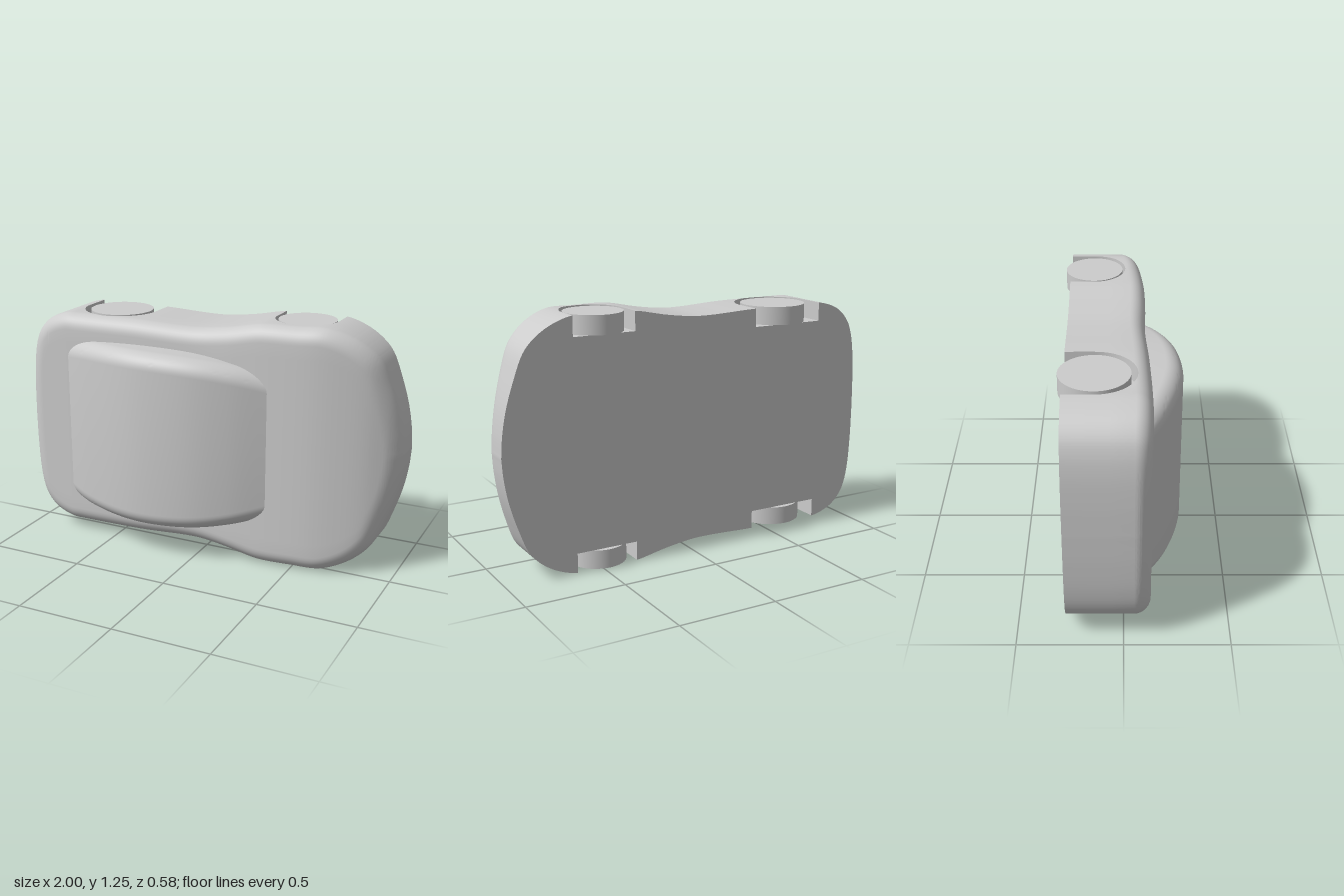
import * as THREE from 'three';
import { toCreasedNormals } from 'three/addons/utils/BufferGeometryUtils.js';

const MID = 0.622; // height of the symmetry plane
const FLOOR = -0.27; // underside of the body
const R = 0.08, H = 0.075; // width and drop of the rounded shoulder
const arches = [
  { name: 'rear', x: -0.56, z: -0.13, r: 0.195, wheel: 0.165, inner: 0.485, outer: 0.577 },
  { name: 'front', x: 0.475, z: -0.15, r: 0.16, wheel: 0.145, inner: 0.523, outer: 0.617 },
];

// Smooth curve through a few points, sampled
const smooth = (pts, n) => new THREE.CatmullRomCurve3(
  pts.map(([a, b]) => new THREE.Vector3(a, b, 0))).getPoints(n);

// Look up a sampled curve at x
function at(curve, x) {
  for (let i = 1; i < curve.length; i++) {
    const p = curve[i - 1], q = curve[i];
    if (x <= q.x) return p.y + (q.y - p.y) * Math.max(0, (x - p.x) / (q.x - p.x || 1));
  }
  return curve[curve.length - 1].y;
}

// Skin a row of half sections [y, z] at stations x, mirrored across the mid plane
function loft(columns) {
  const cols = columns.map(({ x, pts }) => {
    const other = pts.slice(0, -1).reverse().map(([y, z]) => [-y, z]);
    return [...pts, ...other].map(([y, z]) => new THREE.Vector3(x, y + MID, z));
  });
  const out = [];
  const tri = new THREE.Triangle();
  const add = (a, b, c) => {
    if (tri.set(a, b, c).getArea() > 1e-9) for (const p of [a, b, c]) out.push(p.x, p.y, p.z);
  };
  for (let i = 0; i + 1 < cols.length; i++) {
    for (let j = 0; j + 1 < cols[i].length; j++) {
      const a = cols[i][j], b = cols[i][j + 1], c = cols[i + 1][j], d = cols[i + 1][j + 1];
      add(a, b, c);
      add(b, d, c);
    }
  }
  const g = new THREE.BufferGeometry();
  g.setAttribute('position', new THREE.Float32BufferAttribute(out, 3));
  return toCreasedNormals(g, 0.6);
}

// Drop of a rounded edge at distance d from the rim
const roundDrop = (d, r, h) => {
  const u = Math.max(0, 1 - d / r);
  return h * (1 - Math.sqrt(Math.max(0, 1 - u * u)));
};

function bodyGeometry() {
  // Half outline in plan, tail to nose
  const outline = smooth([[-1, 0], [-0.997, 0.17], [-0.987, 0.32], [-0.97, 0.41], [-0.945, 0.47],
    [-0.9, 0.522], [-0.85, 0.553], [-0.77, 0.577], [-0.7, 0.578], [-0.5, 0.578], [-0.35, 0.577],
    [-0.1, 0.567], [0, 0.569], [0.15, 0.588], [0.3, 0.617], [0.36, 0.621], [0.5, 0.621],
    [0.64, 0.621], [0.75, 0.584], [0.83, 0.53], [0.88, 0.472], [0.93, 0.35], [0.97, 0.22],
    [0.992, 0.1], [1, 0]], 260);
  // Top line from the side
  const deck = smooth([[-1, 0.123], [-0.7, 0.13], [-0.3, 0.12], [0, 0.106], [0.2, 0.11], [0.4, 0.105],
    [0.6, 0.083], [0.75, 0.042], [0.85, 0.002], [0.93, -0.045], [0.97, -0.072], [1, -0.09]], 150);
  const segments = outline.slice(1).map((p, i) => new THREE.Line3(outline[i], p));
  const near = new THREE.Vector3();
  const rimDistance = (x, y) => {
    const p = new THREE.Vector3(x, y, 0);
    let best = 9;
    for (const s of segments) best = Math.min(best, s.closestPointToPoint(p, true, near).distanceToSquared(p));
    return Math.sqrt(best);
  };

  // One half section: underside, wheel arch, side wall, shoulder, deck
  function section(x, arch) {
    const base = at(deck, x), rim = base - H;
    const hw = at(outline, x);
    const slope = (at(outline, Math.min(1, x + 0.004)) - at(outline, Math.max(-1, x - 0.004))) / 0.008;
    const k = Math.hypot(1, slope);
    let edge = hw, z0 = FLOOR;
    if (arch) {
      z0 = arch.z + Math.sqrt(Math.max(0, arch.r ** 2 - (x - arch.x) ** 2));
      if (z0 > rim) { // arch reaches into the shoulder
        const s = 1 - (base - z0) / H;
        edge = hw - k * R * (1 - Math.sqrt(1 - s * s));
      }
    }
    const inner = arch ? arch.inner : hw;
    const pts = [[0, FLOOR], [inner, FLOOR], [inner, z0], [edge, z0]];
    const wallTop = Math.max(rim, z0);
    for (let i = 1; i <= 3; i++) pts.push([edge, z0 + (wallTop - z0) * i / 3]);
    const span = Math.min(R * k, hw * 0.5);
    const ys = [];
    for (let i = 1; i <= 9; i++) ys.push(hw - span * (1 - Math.cos(i / 9 * Math.PI / 2)));
    for (let i = 1; i <= 8; i++) ys.push((hw - span) * (1 - i / 8));
    for (const y of ys) {
      const yy = Math.min(y, edge);
      const z = x <= -1 || x >= 1 ? rim : base - roundDrop(rimDistance(x, yy), R, H);
      pts.push([yy, yy === edge ? wallTop : Math.max(z, z0)]);
    }
    return { x, pts };
  }

  const columns = outline.map(p => p.x)
    .filter(x => !arches.some(a => Math.abs(x - a.x) <= a.r))
    .map(x => section(x));
  for (const a of arches) {
    const cut = [section(a.x - a.r)];
    for (let i = 0; i <= 32; i++) cut.push(section(a.x - a.r * Math.cos(i / 32 * Math.PI), a));
    cut.push(section(a.x + a.r));
    let i = columns.findIndex(c => c.x > a.x);
    columns.splice(i, 0, ...cut);
  }
  return loft(columns);
}

function cabinGeometry() {
  const roof = smooth([[-0.8, 0.095], [-0.7, 0.155], [-0.6, 0.202], [-0.4, 0.264], [-0.23, 0.285],
    [0, 0.262], [0.2, 0.195], [0.42, 0.08]], 100);
  const width = smooth([[-0.8, 0.425], [-0.6, 0.45], [-0.3, 0.46], [0, 0.447], [0.2, 0.417], [0.42, 0.36]], 80);
  const r = 0.08;
  const columns = [];
  for (let i = 0; i <= 70; i++) {
    const x = -0.8 + 1.22 * i / 70, w = at(width, x), top = at(roof, x);
    const pts = [[0, 0], [w, 0]];
    for (let j = 0; j <= 12; j++) {
      const d = r * (1 - Math.cos(j / 12 * Math.PI / 2));
      pts.push([w - d, Math.max(0, top - roundDrop(d, r, 0.085))]);
    }
    pts.push([0, top]);
    columns.push({ x, pts });
  }
  return loft(columns);
}

export function createModel() {
  const model = new THREE.Group();
  model.name = 'toyCar';
  const material = new THREE.MeshStandardMaterial({ color: 0xcccccc });
  const add = (name, geometry) => {
    const mesh = new THREE.Mesh(geometry, material);
    mesh.name = name;
    model.add(mesh);
    return mesh;
  };
  add('body', bodyGeometry());
  add('cabin', cabinGeometry());

  // Four wheels, axles along y
  for (const a of arches) {
    for (const side of [1, -1]) {
      const wheel = add(a.name + 'Wheel', new THREE.CylinderGeometry(a.wheel, a.wheel, a.outer - a.inner, 64));
      wheel.position.set(a.x, MID + side * (a.inner + a.outer) / 2, a.z);
    }
  }
  return model;
}
